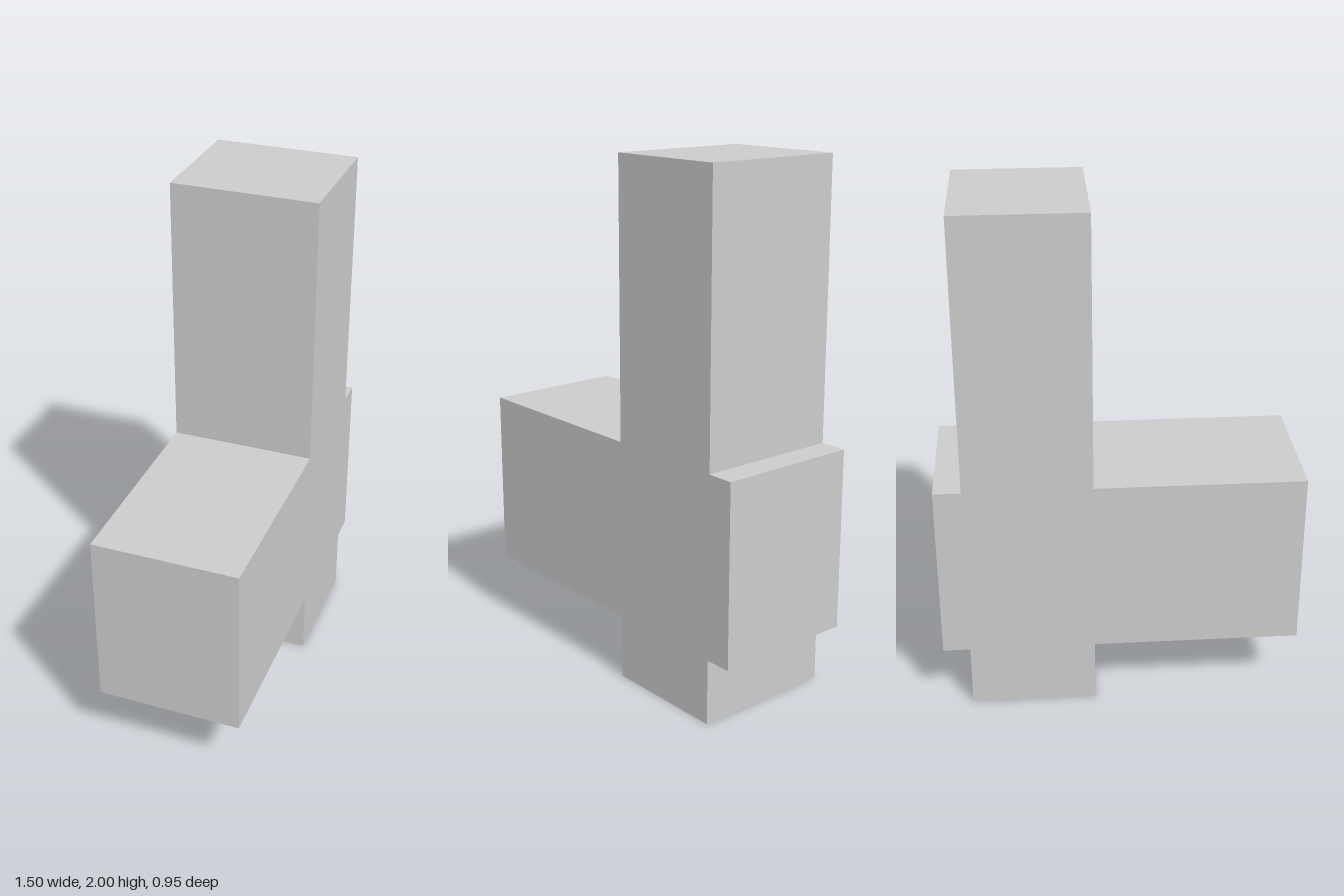
import * as THREE from 'three';

export function createModel() {
  const group = new THREE.Group();

  // Asymmetric cross outline: horizontal bar crossed by a tall upright
  const end = 0.696, left = 0.104, right = 0.591; // bar half length, upright sides
  const low = 0.252, high = 0.95, top = 2;        // bar bottom and top, upright top
  const outline = [
    [left, 0], [right, 0], [right, low], [end, low], [end, high], [right, high],
    [right, top], [left, top], [left, high], [-end, high], [-end, low], [left, low],
  ];
  const shape = new THREE.Shape(outline.map(([x, y]) => new THREE.Vector2(x, y)));

  // Solid block of even depth, centred on z
  const depth = 0.56;
  const geometry = new THREE.ExtrudeGeometry(shape, { depth, bevelEnabled: false });
  geometry.translate(0, 0, -depth / 2);

  const block = new THREE.Mesh(
    geometry,
    new THREE.MeshStandardMaterial({ color: 0xcccccc, flatShading: true })
  );
  block.name = 'crossBlock';
  block.rotation.y = THREE.MathUtils.degToRad(17.44); // turned about the vertical
  group.add(block);

  return group;
}
